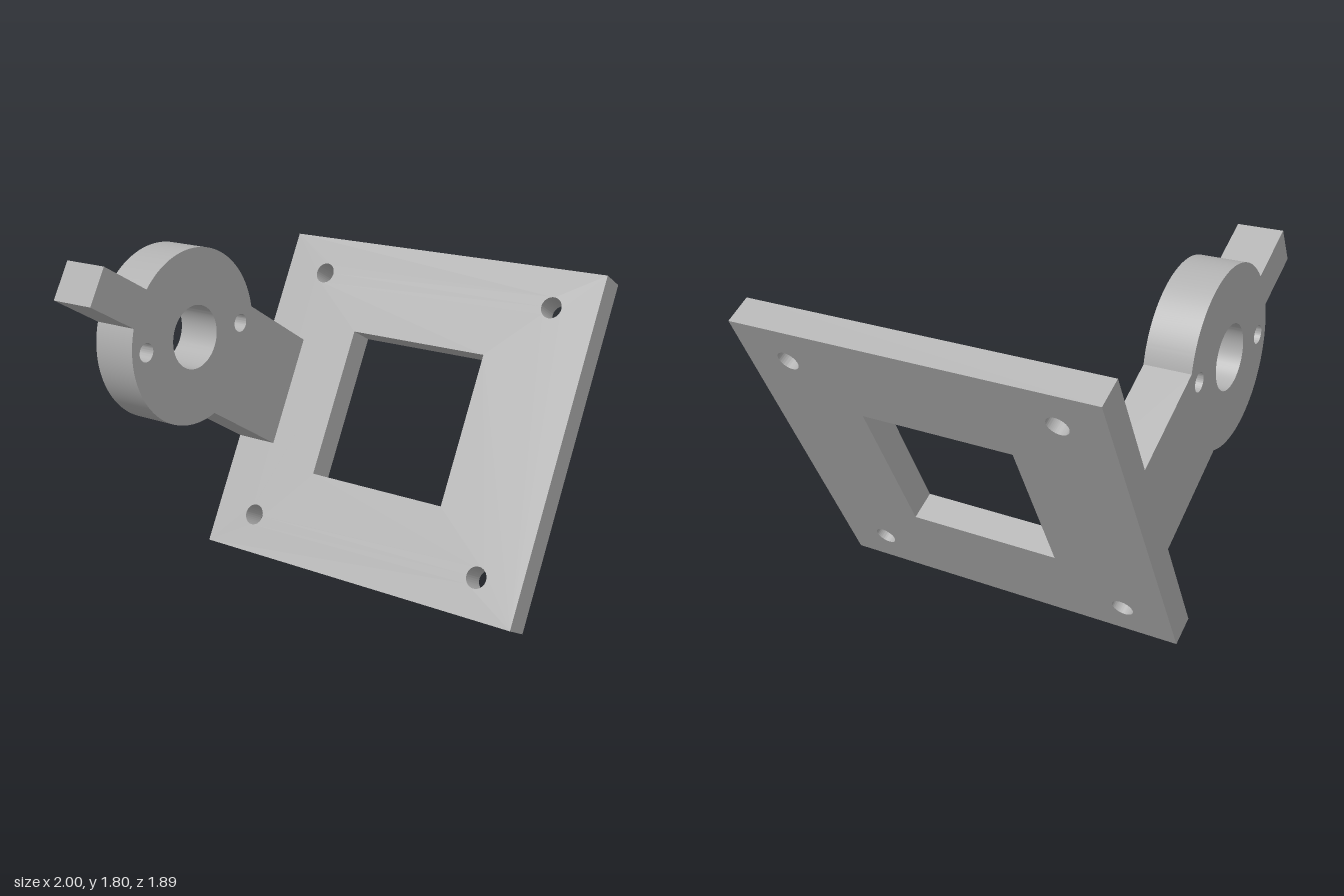
import * as THREE from 'three';
import { toCreasedNormals } from 'three/addons/utils/BufferGeometryUtils.js';

const grey = new THREE.MeshStandardMaterial({ color: 0xb0b0b0 });
grey.name = 'plain grey';

function circleHole(x, y, r) {
  return new THREE.Path().absarc(x, y, r, 0, Math.PI * 2, true);
}

function extruded(name, shape, depth) {
  const geo = new THREE.ExtrudeGeometry(shape, { depth, bevelEnabled: false, curveSegments: 48 });
  const mesh = new THREE.Mesh(toCreasedNormals(geo, 0.4), grey);
  mesh.name = name;
  return mesh;
}

// Square plate with a central window and four corner screw holes
function mountingPlate() {
  const half = 0.897, width = 0.945, thickness = 0.15;
  const shape = new THREE.Shape();
  shape.moveTo(-width, -half).lineTo(width, -half).lineTo(width, half).lineTo(-width, half).closePath();

  const win = 0.4;
  shape.holes.push(new THREE.Path().moveTo(-win, -win).lineTo(-win, win).lineTo(win, win).lineTo(win, -win).closePath());
  for (const sx of [-1, 1]) for (const sy of [-1, 1]) shape.holes.push(circleHole(sx * 0.697, sy * 0.695, 0.055));

  const plate = extruded('mountingPlate', shape, thickness);
  plate.geometry.translate(0, 0, -thickness / 2);
  plate.geometry.rotateY(Math.PI / 2); // face towards +x
  plate.rotation.z = -THREE.MathUtils.degToRad(90 - 61.4); // lean over to the right
  plate.position.set(0.503, 0.828, 0);
  return plate;
}

// Ring bracket with a tab on one side and an arm reaching the plate
function ringBracket() {
  const cx = -0.305, cy = 1.34, r = 0.447;
  const angle = (x, y) => Math.atan2(y - cy, x - cx);
  const shape = new THREE.Shape();
  shape.moveTo(0.3, 0.607).lineTo(0.585, 1.13);
  shape.absarc(cx, cy, r, angle(0.14, 1.41), angle(-0.635, 1.645), false);
  shape.lineTo(-0.9, 1.8).lineTo(-1, 1.63);
  shape.absarc(cx, cy, r, angle(-0.735, 1.475), angle(-0.18, 0.91) + Math.PI * 2, false);
  shape.closePath();

  // Shaft bore and two screw holes
  shape.holes.push(circleHole(cx, cy, 0.162));
  for (const s of [-1, 1]) shape.holes.push(circleHole(cx + s * 0.35, cy, 0.047));

  const bracket = extruded('ringBracket', shape, 0.235);
  bracket.position.z = -0.945;
  return bracket;
}

export function createModel() {
  const model = new THREE.Group();
  model.name = 'angledMotorBracket';
  model.add(mountingPlate(), ringBracket());
  return model;
}
